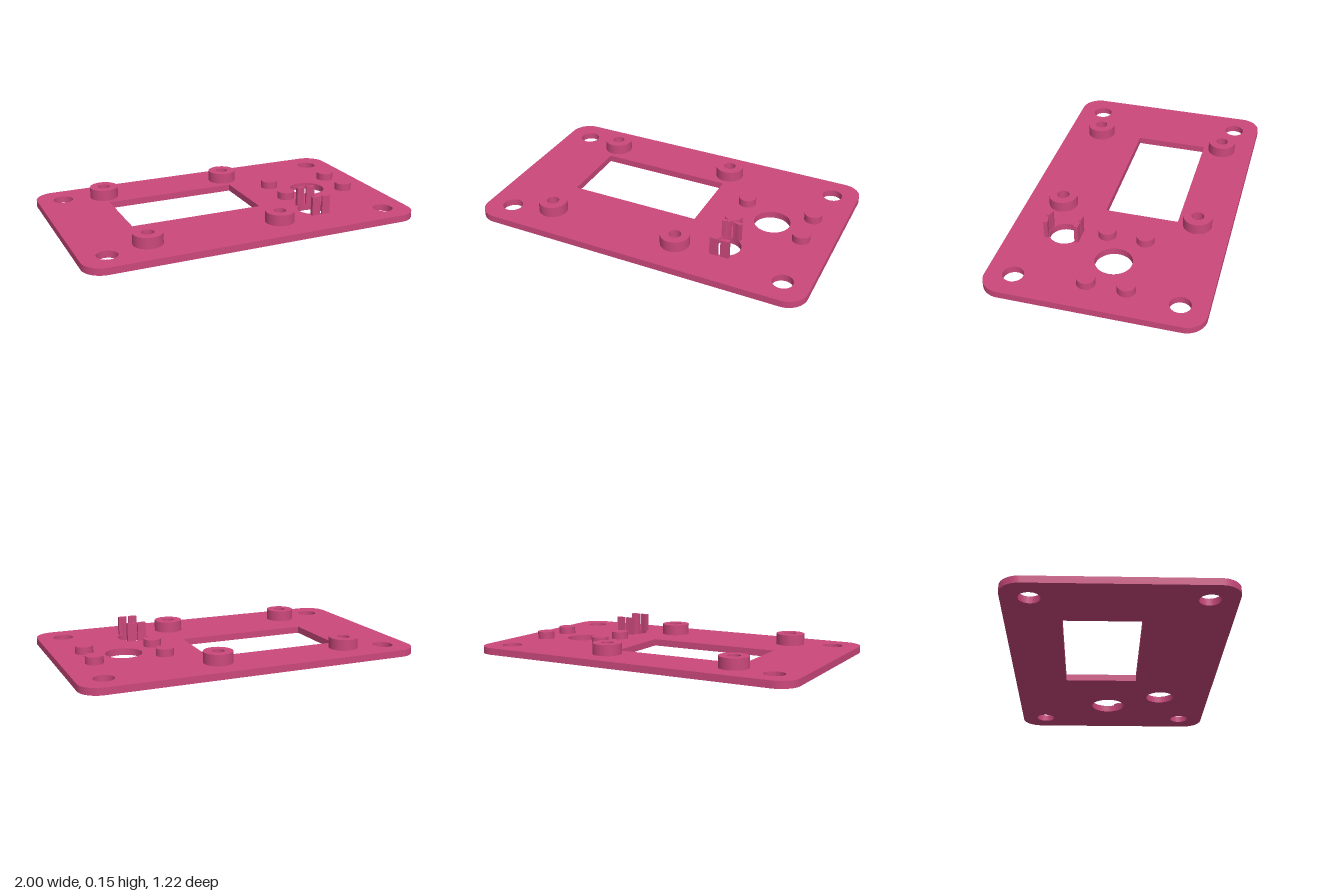
import * as THREE from 'three';
import { toCreasedNormals } from 'three/addons/utils/BufferGeometryUtils.js';

const T = 0.04; // plate thickness

export function createModel() {
  const group = new THREE.Group();
  group.name = 'mountingPlate';
  const pink = new THREE.MeshStandardMaterial({ color: 0xcb487c });
  pink.name = 'raspberry pink';

  const hole = (x, z, r) => new THREE.Path().absarc(x, z, r, 0, Math.PI * 2, true);
  const disc = (x, z, r) => new THREE.Shape().absarc(x, z, r, 0, Math.PI * 2, false);

  // Extrude an outline drawn in x/z upward from y0 to y1
  function slab(name, shape, y0, y1) {
    const geo = new THREE.ExtrudeGeometry(shape, { depth: y1 - y0, bevelEnabled: false, curveSegments: 24 });
    geo.rotateX(Math.PI / 2).translate(0, y1, 0);
    const mesh = new THREE.Mesh(toCreasedNormals(geo, 0.6), pink);
    mesh.name = name;
    group.add(mesh);
  }

  // Rounded plate with its openings
  const W = 1, D = 0.61, R = 0.115;
  const plate = new THREE.Shape();
  plate.absarc(W - R, D - R, R, 0, Math.PI / 2);
  plate.absarc(-W + R, D - R, R, Math.PI / 2, Math.PI);
  plate.absarc(-W + R, -D + R, R, Math.PI, Math.PI * 1.5);
  plate.absarc(W - R, -D + R, R, Math.PI * 1.5, Math.PI * 2);
  plate.closePath();

  const screen = new THREE.Path();
  screen.moveTo(-0.603, -0.3).lineTo(-0.603, 0.13).lineTo(0.193, 0.13).lineTo(0.193, -0.3).closePath();
  plate.holes.push(screen, hole(0.613, -0.035, 0.105), hole(0.459, 0.297, 0.087));
  for (const x of [-0.848, 0.848])
    for (const z of [-0.458, 0.458]) plate.holes.push(hole(x, z, 0.058));
  slab('plate', plate, 0, T);

  // Hollow screw bosses around the screen opening
  for (const x of [-0.602, 0.191])
    for (const z of [-0.415, 0.394]) {
      const ring = disc(x, z, 0.084);
      ring.holes.push(hole(x, z, 0.036));
      slab('screwBoss', ring, T, 0.104);
    }

  // Solid pegs around the large round opening
  for (const x of [0.41, 0.818])
    for (const z of [-0.162, 0.06]) slab('peg', disc(x, z, 0.051), T, 0.084);

  // Four clip posts, hollowed to follow the small round opening
  const cx = 0.459, cz = 0.3, r = 0.087;
  for (const sx of [-1, 1])
    for (const sz of [-1, 1]) {
      const outline = [[0.007, 0.1], [0.057, 0.1], [0.057, 0.078]];
      for (let i = 0; i <= 4; i++) {
        const dx = 0.0385 + (0.007 - 0.0385) * i / 4;
        outline.push([dx, Math.sqrt(r * r - dx * dx)]);
      }
      const points = outline.map(([x, z]) => new THREE.Vector2(cx + sx * x, cz + sz * z));
      slab('clipPost', new THREE.Shape(points), T, 0.15);
    }

  return group;
}
